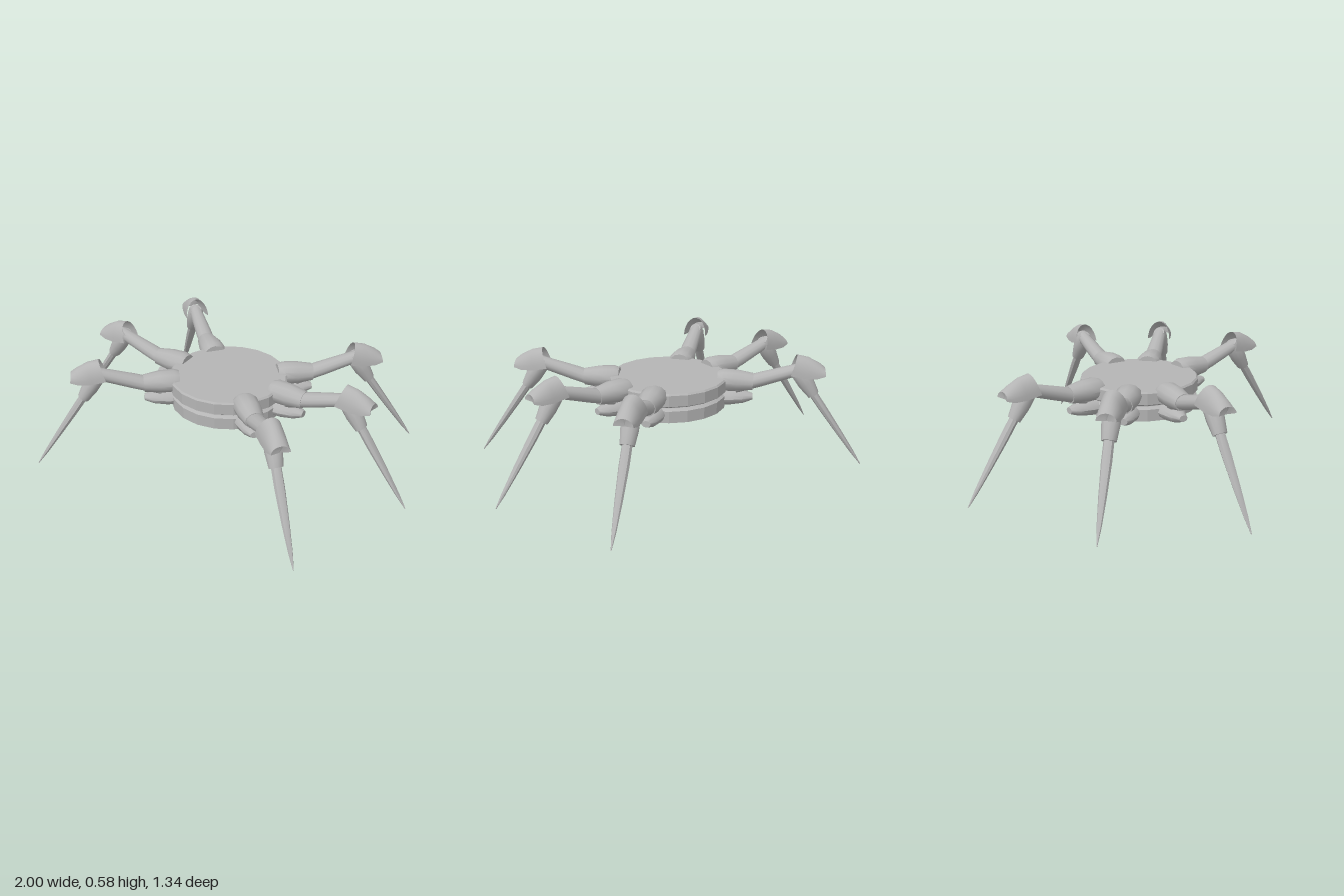
import * as THREE from 'three';
import { toCreasedNormals } from 'three/addons/utils/BufferGeometryUtils.js';

const steel = new THREE.MeshStandardMaterial({ color: 0xb4b4b4, side: THREE.DoubleSide });
steel.name = 'grey steel';

function part(name, geometry, crease) {
  const mesh = new THREE.Mesh(toCreasedNormals(geometry, crease), steel);
  mesh.name = name;
  return mesh;
}

// Skin a list of equally long point rows
function skin(rows) {
  const n = rows[0].length, index = [];
  for (let i = 0; i < rows.length - 1; i++) {
    for (let j = 0; j < n - 1; j++) {
      const a = i * n + j, b = a + 1, c = b + n, d = a + n;
      index.push(a, b, c, a, c, d);
    }
  }
  const g = new THREE.BufferGeometry();
  g.setAttribute('position', new THREE.Float32BufferAttribute(rows.flat(2), 3));
  g.setIndex(index);
  return g;
}

// Tapered limb from (x0,y0) to (x1,y1); stations are [t, halfWidth, halfHeight]
function limb(name, x0, y0, x1, y1, stations, sides = 12) {
  const dx = x1 - x0, dy = y1 - y0, len = Math.hypot(dx, dy);
  const first = stations[0], last = stations[stations.length - 1];
  const rows = [[first[0], 0, 0], ...stations, [last[0], 0, 0]].map(([t, w, h]) =>
    Array.from({ length: sides + 1 }, (_, j) => {
      const a = (j % sides) / sides * Math.PI * 2, u = h * Math.cos(a);
      return [x0 + dx * t - dy / len * u, y0 + dy * t + dx / len * u, w * Math.sin(a)];
    }));
  return part(name, skin(rows), 0.7);
}

// Hooded knee shell, open on its inner side and underneath
function kneeCap() {
  // [top x, top y, side x, side y, half width]
  const sections = [
    [0.645, 0.584, 0.615, 0.49, 0.062],
    [0.70, 0.574, 0.69, 0.476, 0.057],
    [0.755, 0.546, 0.75, 0.476, 0.052],
    [0.785, 0.522, 0.79, 0.488, 0.046],
    [0.775, 0.49, 0.775, 0.485, 0],
  ];
  const rows = sections.map(([tx, ty, sx, sy, w]) =>
    Array.from({ length: 13 }, (_, j) => {
      const a = (j / 12 - 0.5) * Math.PI, c = Math.cos(a);
      return [sx + (tx - sx) * c, sy + (ty - sy) * c, w * Math.sin(a)];
    }));
  return part('kneeCap', skin(rows), 0.7);
}

// One leg, reaching out along +x
function makeLeg() {
  const leg = new THREE.Group();
  leg.name = 'leg';
  leg.add(
    limb('hipSleeve', 0.25, 0.442, 0.43, 0.436, [[0, 0.055, 0.045], [0.15, 0.066, 0.055], [0.55, 0.062, 0.055], [1, 0.048, 0.043]]),
    limb('lowerHipPod', 0.2, 0.348, 0.43, 0.356, [[0, 0.055, 0.036], [0.5, 0.056, 0.04], [0.8, 0.044, 0.032], [1, 0.022, 0.016]]),
    limb('upperArm', 0.34, 0.41, 0.68, 0.515, [[0, 0.045, 0.036], [0.4, 0.044, 0.036], [1, 0.033, 0.03]]),
    kneeCap(),
    limb('shinCollar', 0.638, 0.525, 0.735, 0.378, [[0, 0.03, 0.03], [0.2, 0.044, 0.043], [0.6, 0.043, 0.042], [1, 0.035, 0.03]]),
    limb('shinBlade', 0.7, 0.43, 0.997, 0.003, [[0, 0.024, 0.022], [0.3, 0.025, 0.02], [0.6, 0.019, 0.015], [0.85, 0.011, 0.009], [1, 0.002, 0.002]], 8),
  );
  return leg;
}

export function createModel() {
  const model = new THREE.Group();
  model.name = 'sixLeggedWalker';

  // Faceted discs: [radius, y] from bottom to top
  const disc = (name, profile) =>
    part(name, new THREE.LatheGeometry(profile.map(p => new THREE.Vector2(...p)), 20), 0.2);
  model.add(
    disc('undersideDish', [[0, 0.282], [0.05, 0.277], [0.12, 0.265], [0.222, 0.288], [0.222, 0.312], [0, 0.312]]),
    disc('lowerDisc', [[0, 0.311], [0.295, 0.311], [0.295, 0.37], [0.28, 0.38], [0, 0.38]]),
    disc('grooveRing', [[0.27, 0.375], [0.27, 0.4]]),
    disc('upperDisc', [[0, 0.388], [0.288, 0.388], [0.3, 0.396], [0.3, 0.452], [0.292, 0.46], [0, 0.46]]),
  );

  // Six legs around the body
  for (const degrees of [0, 42, 140.6, 180, 222, 320.6]) {
    const leg = makeLeg();
    leg.rotation.y = -THREE.MathUtils.degToRad(degrees);
    model.add(leg);
  }
  return model;
}
